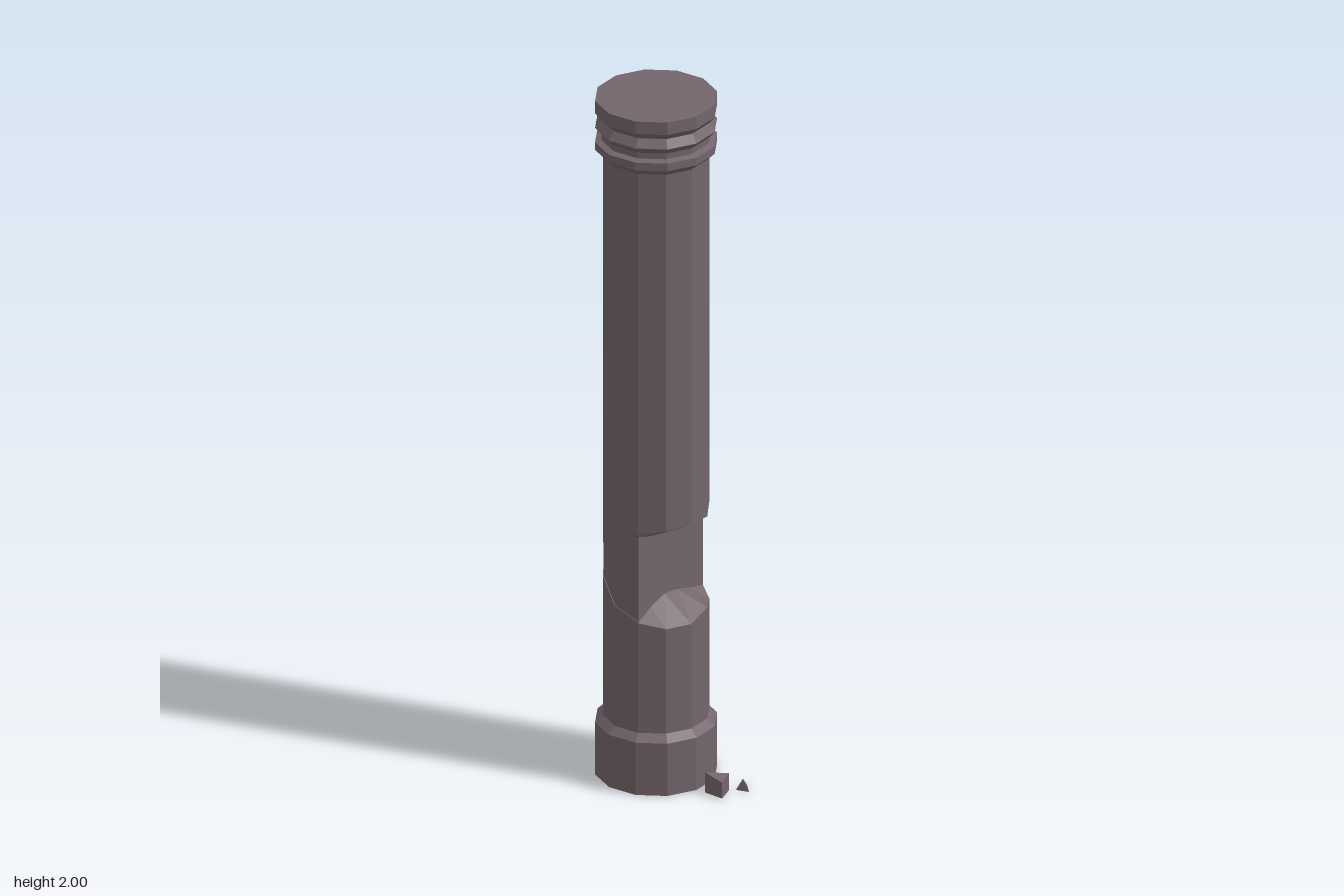
import * as THREE from 'three';

const SIDES = 12, R = 0.145, RIM = 0.166;
const stone = new THREE.MeshStandardMaterial({ color: 0x73656b });
stone.name = 'dusky stone';

function part(name, geometry) {
  const flat = geometry.index ? geometry.toNonIndexed() : geometry;
  flat.computeVertexNormals();
  const mesh = new THREE.Mesh(flat, stone);
  mesh.name = name;
  return mesh;
}

const turned = (profile) =>
  new THREE.LatheGeometry(profile.map(([r, y]) => new THREE.Vector2(r, y)), SIDES);

// Shaft stations around the column: [angle, gap bottom, inner bottom, inner top, gap top, cut depth]
// A cut depth of -1 means the surface is only chipped by a hair.
const STATIONS = [
  [90, 0.50, 0.505, 0.755, 0.765, 0],
  [60, 0.485, 0.53, 0.74, 0.775, 0.2],
  [30, 0.485, 0.55, 0.73, 0.78, 0.4],
  [0, 0.505, 0.545, 0.735, 0.775, 0.6],
  [-30, 0.495, 0.53, 0.75, 0.785, 0.8],
  [-45, 0.515, 0.52, 0.765, 0.77, 1],
  [-60, 0.53, 0.53, 0.75, 0.75, -1],
  [-90, 0.57, 0.57, 0.72, 0.72, -1],
  [-120, 0.635, 0.635, 0.64, 0.64, -1],
  [-150, 0.635, 0.635, 0.64, 0.64, -1],
  [-180, 0.635, 0.635, 0.64, 0.64, -1],
  [-210, 0.59, 0.59, 0.69, 0.69, -1],
  [-240, 0.53, 0.53, 0.74, 0.74, -1],
];

function shaftGeometry() {
  const onShaft = (deg) => {
    const r = deg === -45 ? R * Math.cos(Math.PI / SIDES) : R;
    const a = THREE.MathUtils.degToRad(deg);
    return new THREE.Vector2(r * Math.cos(a), r * Math.sin(a));
  };
  const start = onShaft(90), end = onShaft(-45);
  const columns = STATIONS.map(([deg, b, ib, it, t, cut]) => {
    const outer = onShaft(deg);
    const inner = (cut < 0 ? outer.clone() : start.clone().lerp(end, cut)).multiplyScalar(0.988);
    const at = (p, y) => [p.x, y, p.y];
    return [at(outer, 0.175), at(outer, b), at(inner, ib), at(inner, it), at(outer, t), at(outer, 1.835)];
  });
  const positions = [];
  columns.forEach((a, i) => {
    const b = columns[(i + 1) % columns.length];
    for (let j = 0; j < a.length - 1; j++) {
      positions.push(...a[j], ...b[j], ...b[j + 1], ...a[j], ...b[j + 1], ...a[j + 1]);
    }
  });
  const g = new THREE.BufferGeometry();
  g.setAttribute('position', new THREE.Float32BufferAttribute(positions, 3));
  return g;
}

// Three-sided chip: corners run anticlockwise seen from above, each [x, z, topHeight]
function chipGeometry(corners) {
  const low = corners.map(([x, z]) => [x, 0, z]);
  const high = corners.map(([x, z, y]) => [x, y, z]);
  const positions = [...high.flat(), ...low[0], ...low[2], ...low[1]];
  for (let i = 0; i < 3; i++) {
    const k = (i + 1) % 3;
    positions.push(...low[i], ...low[k], ...high[k], ...low[i], ...high[k], ...high[i]);
  }
  const g = new THREE.BufferGeometry();
  g.setAttribute('position', new THREE.Float32BufferAttribute(positions, 3));
  return g;
}

// Pointed pebble: three base corners (anticlockwise from above) and an apex
function pebbleGeometry(base, apex) {
  const [a, b, c] = base.map(([x, z]) => [x, 0, z]);
  const positions = [a, c, b, a, b, apex, b, c, apex, c, a, apex].flat();
  const g = new THREE.BufferGeometry();
  g.setAttribute('position', new THREE.Float32BufferAttribute(positions, 3));
  return g;
}

export function createModel() {
  const model = new THREE.Group();
  model.name = 'brokenColumn';

  const column = new THREE.Group();
  column.name = 'column';
  column.position.x = -0.058;
  column.add(
    part('base', turned([[0, 0], [RIM, 0], [RIM, 0.155], [R, 0.175]])),
    part('notchedShaft', shaftGeometry()),
    // Ringed capital
    part('capital', turned([
      [R, 1.835], [RIM, 1.855], [RIM, 1.878], [0.149, 1.883], [0.149, 1.9],
      [RIM, 1.92], [0.149, 1.943], [RIM, 1.963], [RIM, 2], [0, 2],
    ])),
  );
  model.add(column);

  // Fallen fragments
  model.add(
    part('largeFragment', chipGeometry([[0.112, 0.09, 0.06], [0.168, 0.11, 0.047], [0.168, 0.054, 0.05]])),
    part('smallFragment', pebbleGeometry([[0.203, 0.008], [0.185, 0.048], [0.222, 0.048]], [0.203, 0.034, 0.043])),
  );
  return model;
}
